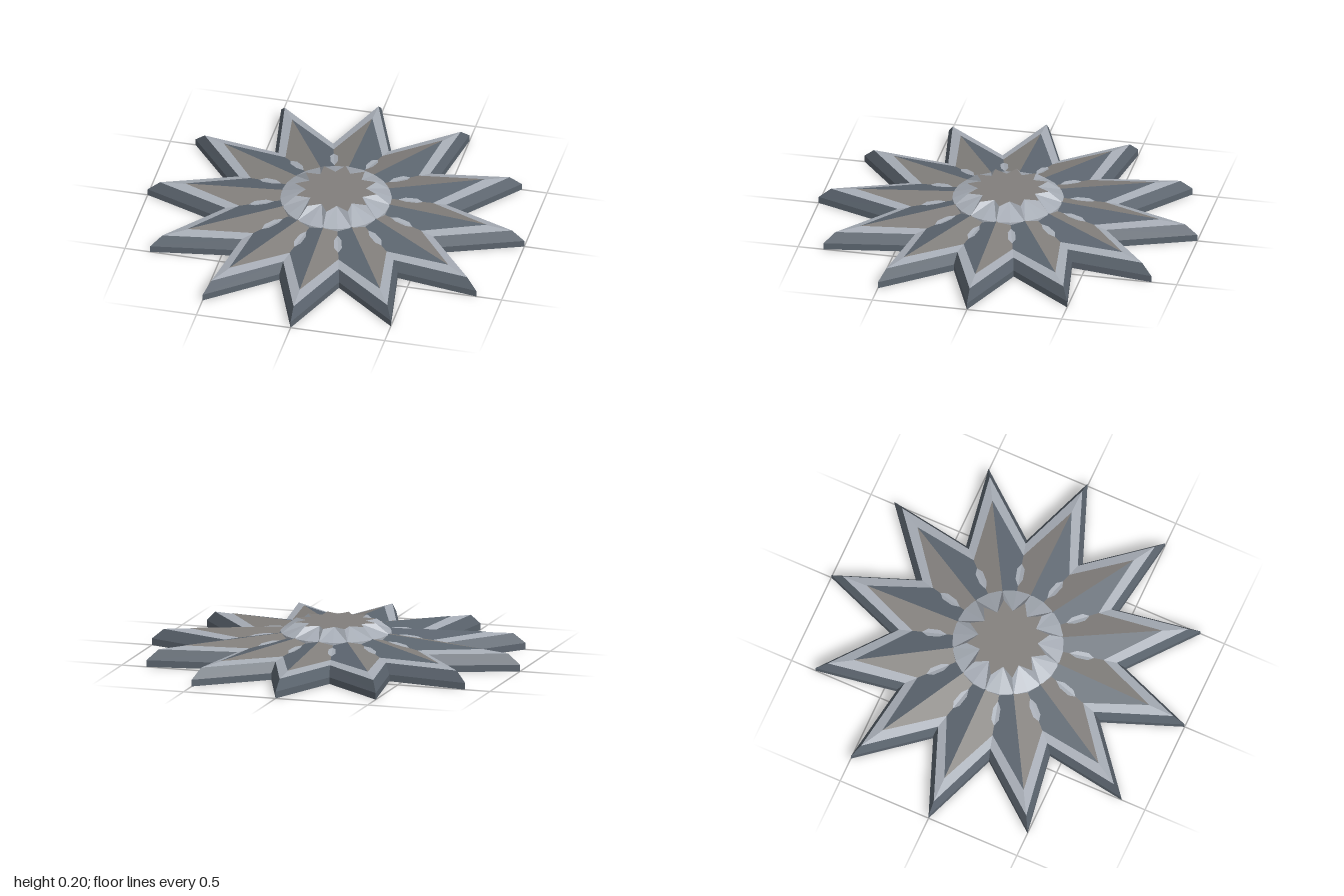
import * as THREE from 'three';

const RAYS = 12;
const STEP = Math.PI / RAYS; // angle from a ray tip to the next valley

const mat = (name, color, extra = {}) => {
  const m = new THREE.MeshStandardMaterial({ color, flatShading: true, ...extra });
  m.name = name;
  return m;
};

// Star-shaped ring: even points on the tips, odd points in the valleys
const star = (tip, valley, yTip, yValley = yTip) =>
  Array.from({ length: RAYS * 2 }, (_, i) => {
    const r = i % 2 ? valley : tip, a = i * STEP;
    return new THREE.Vector3(r * Math.sin(a), i % 2 ? yValley : yTip, r * Math.cos(a));
  });

// Flat-shaded skin through a list of rings, lowest first
function loft(rings) {
  const pos = [];
  const tri = (...pts) => pts.forEach((p) => pos.push(p.x, p.y, p.z));
  for (let k = 0; k + 1 < rings.length; k++) {
    const lo = rings[k], hi = rings[k + 1];
    for (let i = 0; i < lo.length; i++) {
      const j = (i + 1) % lo.length;
      // the diagonal always starts at the tip, so both halves of a ray mirror
      if (i % 2 === 0) {
        tri(lo[i], lo[j], hi[j]);
        tri(lo[i], hi[j], hi[i]);
      } else {
        tri(lo[i], lo[j], hi[i]);
        tri(lo[j], hi[j], hi[i]);
      }
    }
  }
  return toGeometry(pos);
}

// Flat fan that closes a ring
function fan(ring, up) {
  const pos = [];
  ring.forEach((p, i) => {
    const q = ring[(i + 1) % ring.length];
    const [a, b] = up ? [p, q] : [q, p];
    pos.push(0, p.y, 0, a.x, a.y, a.z, b.x, b.y, b.z);
  });
  return toGeometry(pos);
}

function toGeometry(pos) {
  const g = new THREE.BufferGeometry();
  g.setAttribute('position', new THREE.Float32BufferAttribute(pos, 3));
  g.computeVertexNormals();
  return g;
}

export function createModel() {
  const slate = mat('slate', 0x5c656f);
  const silver = mat('silver', 0xa6acb5);
  const stone = mat('warm stone', 0x827f7c);
  const group = new THREE.Group();
  const add = (name, geometry, material, parent = group) => {
    const m = new THREE.Mesh(geometry, material);
    m.name = name;
    parent.add(m);
    return m;
  };

  // Each half ray is one plane, falling from the ridge towards the valley
  const TIP = 0.935, VALLEY = 0.57, RIM_Y = 0.09, HUB = 0.28, HUB_Y = 0.145;
  const nx = VALLEY * Math.sin(STEP), nz = TIP - VALLEY * Math.cos(STEP);
  const len = Math.hypot(nx, nz);
  const edge = (TIP * nx) / len;
  const slope = (HUB_Y - RIM_Y) / (edge - (HUB * nx) / len);
  const height = (along, across) =>
    RIM_Y + slope * (edge - (along * nx + Math.abs(across) * nz) / len);
  const valleyY = height(HUB * Math.cos(STEP), HUB * Math.sin(STEP));

  // Base plate with bevelled edge
  const foot = star(1, 0.61, 0);
  const shoulder = star(1, 0.61, 0.035);
  const rim = star(TIP, VALLEY, RIM_Y);
  add('baseEdge', loft([foot, shoulder, rim]), slate);
  add('baseUnderside', fan(foot, false), slate);
  add('rimSurface', loft([rim, star(HUB, HUB, HUB_Y, valleyY)]), silver);

  // Inlaid facets: two halves per ray, notched beside the valley
  const outline = [[0.8, 0], [0.5, 1], [0.45, 1], [0.42, 0.82], [0.36, 0.8], [0.32, 1], [0.27, 1], [0.27, 0]];
  const facet = (side) => {
    const shape = new THREE.Shape(outline.map(([r, t]) =>
      new THREE.Vector2(r * Math.sin(t * STEP) * side, -r * Math.cos(t * STEP))));
    const g = new THREE.ShapeGeometry(shape).rotateX(-Math.PI / 2);
    const p = g.attributes.position;
    for (let i = 0; i < p.count; i++) p.setY(i, height(p.getZ(i), p.getX(i)) + 0.003);
    g.computeVertexNormals();
    return g;
  };
  const stoneHalf = facet(1), slateHalf = facet(-1);
  for (let i = 0; i < RAYS; i++) {
    const ray = new THREE.Group();
    ray.name = 'rayFacets';
    ray.rotation.y = i * 2 * STEP;
    add('stoneFacet', stoneHalf, stone, ray);
    add('slateFacet', slateHalf, slate, ray);
    group.add(ray);
  }

  // Raised hub: round at the foot, star-shaped at the top
  const hubTop = star(0.215, 0.155, 0.2);
  add('hubSide', loft([star(0.29, 0.29, 0.11), star(0.288, 0.288, 0.145), hubTop]), silver);
  add('hubTop', fan(hubTop, true), stone);

  return group;
}
